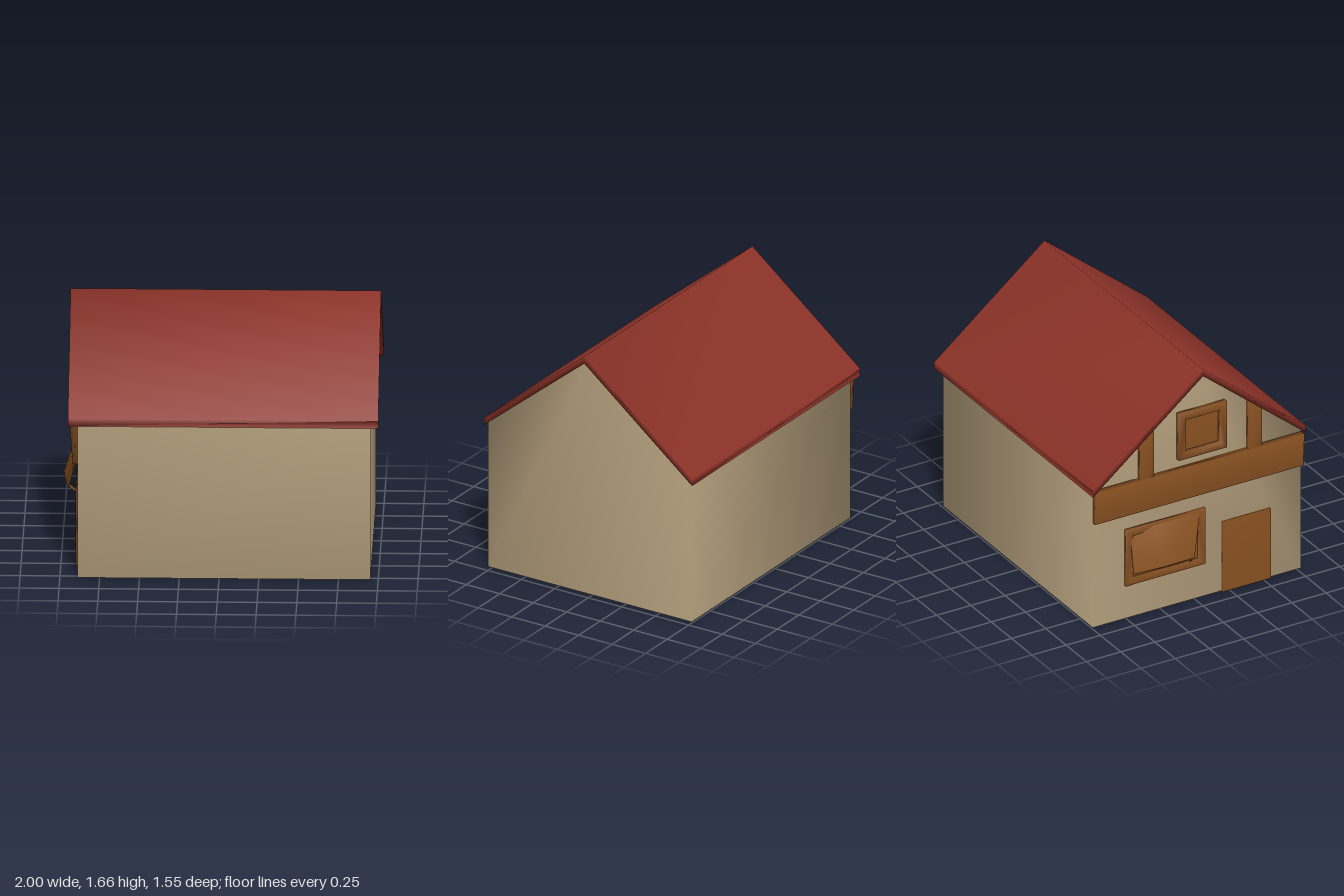
import * as THREE from 'three';
import { mergeVertices } from 'three/addons/utils/BufferGeometryUtils.js';
import { ConvexGeometry } from 'three/addons/geometries/ConvexGeometry.js';

const wallMat = new THREE.MeshStandardMaterial({ name: 'plaster', color: 0xb9a380, side: THREE.DoubleSide });
const roofMat = new THREE.MeshStandardMaterial({ name: 'red roof', color: 0x8b3228 });
const woodMat = new THREE.MeshStandardMaterial({ name: 'brown wood', color: 0x8a5222 });

const FACE = -0.89; // x of the decorated gable

// Share corner vertices so the shading runs softly across edges
function smooth(geo) {
  geo.deleteAttribute('normal');
  geo.deleteAttribute('uv');
  const g = mergeVertices(geo, 1e-4);
  g.computeVertexNormals();
  return g;
}

// Extrude a (z, y) outline along x, from x0 to x1
function extrudeX(points, x0, x1, hole) {
  const shape = new THREE.Shape(points.map(p => new THREE.Vector2(...p)));
  if (hole) shape.holes.push(new THREE.Path(hole.map(p => new THREE.Vector2(...p))));
  const geo = new THREE.ExtrudeGeometry(shape, { depth: x1 - x0, bevelEnabled: false });
  geo.rotateY(-Math.PI / 2).translate(x1, 0, 0);
  return smooth(geo);
}

const rect = (z0, z1, y0, y1) => [[z0, y0], [z1, y0], [z1, y1], [z0, y1]];

export function createModel() {
  const house = new THREE.Group();
  house.name = 'house';
  const add = (name, geo, mat, parent = house) => {
    const mesh = new THREE.Mesh(geo, mat);
    mesh.name = name;
    parent.add(mesh);
  };

  // Walls: open shell with two gables, no floor or ceiling
  const profile = [[0.78, 0], [0.78, 1.0], [0.03, 1.615], [-0.74, 0.995], [-0.74, 0]];
  const verts = [];
  for (const x of [0.95, FACE]) for (const [z, y] of profile) verts.push(x, y, z);
  const walls = new THREE.BufferGeometry();
  walls.setAttribute('position', new THREE.Float32BufferAttribute(verts, 3));
  walls.setIndex([
    0, 4, 3, 0, 3, 2, 0, 2, 1,
    5, 8, 9, 5, 7, 8, 5, 6, 7,
    5, 0, 1, 5, 1, 6,
    4, 9, 8, 4, 8, 3,
  ]);
  walls.computeVertexNormals();
  add('walls', walls, wallMat);

  // Roof: one folded slab with vertical eaves
  add('roof', extrudeX([
    [0.78, 1.0], [0.78, 1.05], [0.03, 1.665], [-0.775, 1.02], [-0.775, 0.97], [0.03, 1.615],
  ], -0.95, 1.0), roofMat);

  // Timber beam, leaning out towards its top edge
  const beam = new THREE.BoxGeometry(0.03, 0.23, 1.52);
  beam.translate(FACE - 0.015, 0.865, 0.02);
  const bp = beam.attributes.position;
  for (let i = 0; i < bp.count; i++) {
    if (bp.getX(i) < FACE - 0.01 && bp.getY(i) > 0.9) bp.setX(i, -0.935);
  }
  add('crossBeam', smooth(beam), woodMat);

  // Posts from the beam up to the roof
  for (const [name, z, top0, top1] of [['backPost', -0.36, 1.26, 1.34], ['frontPost', 0.43, 1.33, 1.25]]) {
    add(name, extrudeX([[z - 0.05, 0.97], [z + 0.05, 0.97], [z + 0.05, top1], [z - 0.05, top0]],
      -0.92, FACE), woodMat);
  }

  // Windows: frame with a recessed pane
  const windowAt = (name, z0, z1, y0, y1, depth) => {
    const group = new THREE.Group();
    group.name = name;
    const w = 0.05;
    const inner = rect(z0 + w, z1 - w, y0 + w, y1 - w);
    add('windowFrame', extrudeX(rect(z0, z1, y0, y1), FACE - depth, FACE, inner), woodMat, group);
    add('windowPane', extrudeX(inner, FACE - 0.008, FACE), woodMat, group);
    house.add(group);
  };
  windowAt('upperWindow', -0.13, 0.22, 1.04, 1.37, 0.035);
  windowAt('lowerWindow', -0.51, 0.07, 0.24, 0.64, 0.02);

  // Shutter hung from the top of the lower window, bowed out at its foot
  const outer = [
    [-0.905, 0.58, -0.47], [-0.91, 0.62, -0.3], [-0.91, 0.62, 0.03],
    [-0.955, 0.34, -0.47], [-1.0, 0.36, -0.27], [-0.98, 0.35, -0.05],
  ];
  const corners = [];
  for (const [x, y, z] of outer) {
    corners.push(new THREE.Vector3(x, y, z), new THREE.Vector3(x + 0.02, y - 0.015, z));
  }
  add('shutter', smooth(new ConvexGeometry(corners)), woodMat);

  // Stay that props the shutter open
  const from = new THREE.Vector3(-0.97, 0.34, -0.06), to = new THREE.Vector3(-0.9, 0.29, -0.04);
  add('shutterStay', new THREE.TubeGeometry(new THREE.LineCurve3(from, to), 1, 0.008, 6), woodMat);

  // Door
  add('door', extrudeX(rect(0.2, 0.55, 0, 0.5), -0.907, FACE), woodMat);

  return house;
}
